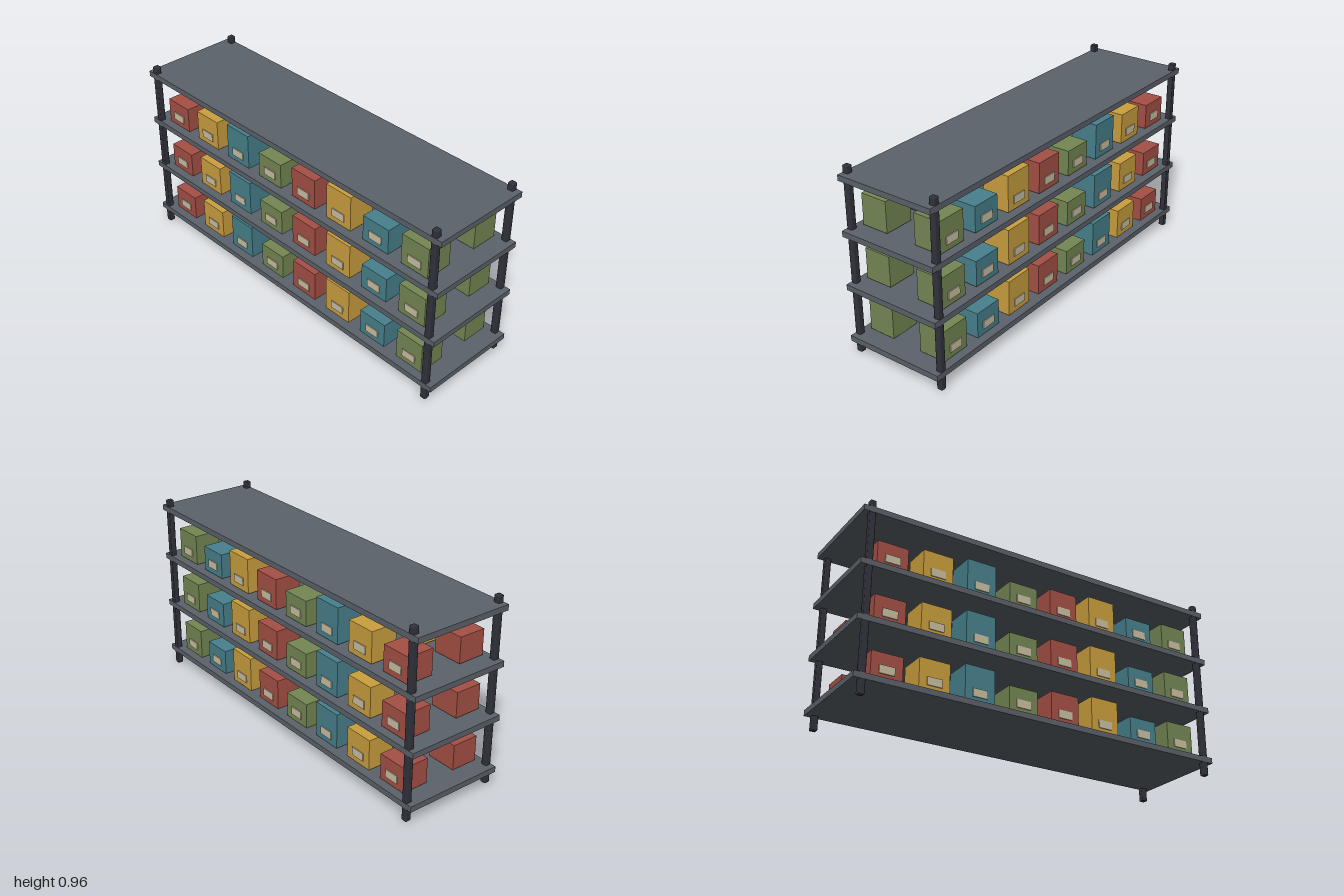
import * as THREE from 'three';
import { RoundedBoxGeometry } from 'three/addons/geometries/RoundedBoxGeometry.js';

function material(name, color) {
  const m = new THREE.MeshStandardMaterial({ color });
  m.name = name;
  return m;
}

export function createModel() {
  const model = new THREE.Group();
  model.name = 'storageRack';

  const shelfGrey = material('shelf grey', 0x5c626a);
  const postDark = material('post dark', 0x32323d);
  const cream = material('label cream', 0xcabfa2);
  const boxColours = [
    material('box green', 0x748753),
    material('box teal', 0x47808c),
    material('box yellow', 0xca9f3e),
    material('box red', 0xa55045),
  ];

  function add(parent, name, geometry, mat, x, y, z) {
    const mesh = new THREE.Mesh(geometry, mat);
    mesh.name = name;
    mesh.position.set(x, y, z);
    parent.add(mesh);
  }

  // Four upright posts with small chamfers
  const postGeo = new RoundedBoxGeometry(0.031, 0.965, 0.031, 1, 0.005);
  for (const x of [-0.247, 0.247]) {
    for (const z of [-0.955, 0.955]) {
      add(model, 'post', postGeo, postDark, x, 0.4825, z);
    }
  }

  // Four shelves
  const shelfGeo = new THREE.BoxGeometry(0.528, 0.029, 2);
  const shelfY = [0, 1, 2, 3].map((i) => 0.0845 + i * 0.2765);
  for (const y of shelfY) add(model, 'shelf', shelfGeo, shelfGrey, 0, y, 0);

  // Two rows of boxes on each of the lower shelves, labels facing outwards
  const heights = [0.158, 0.131, 0.184];
  const labelGeo = new THREE.BoxGeometry(0.006, 0.041, 0.077);
  for (const y of shelfY.slice(0, 3)) {
    const base = y + 0.019;
    for (const side of [-1, 1]) {
      const row = new THREE.Group();
      row.name = 'boxRow';
      model.add(row);
      for (let i = 0; i < 8; i++) {
        const h = heights[i % 3];
        const z = 0.826 - i * 0.236;
        add(row, 'box', new THREE.BoxGeometry(0.142, h, 0.157), boxColours[i % 4],
          side * 0.153, base + h / 2, z);
        add(row, 'label', labelGeo, cream, side * 0.226, base + 0.05, z);
      }
    }
  }
  return model;
}
